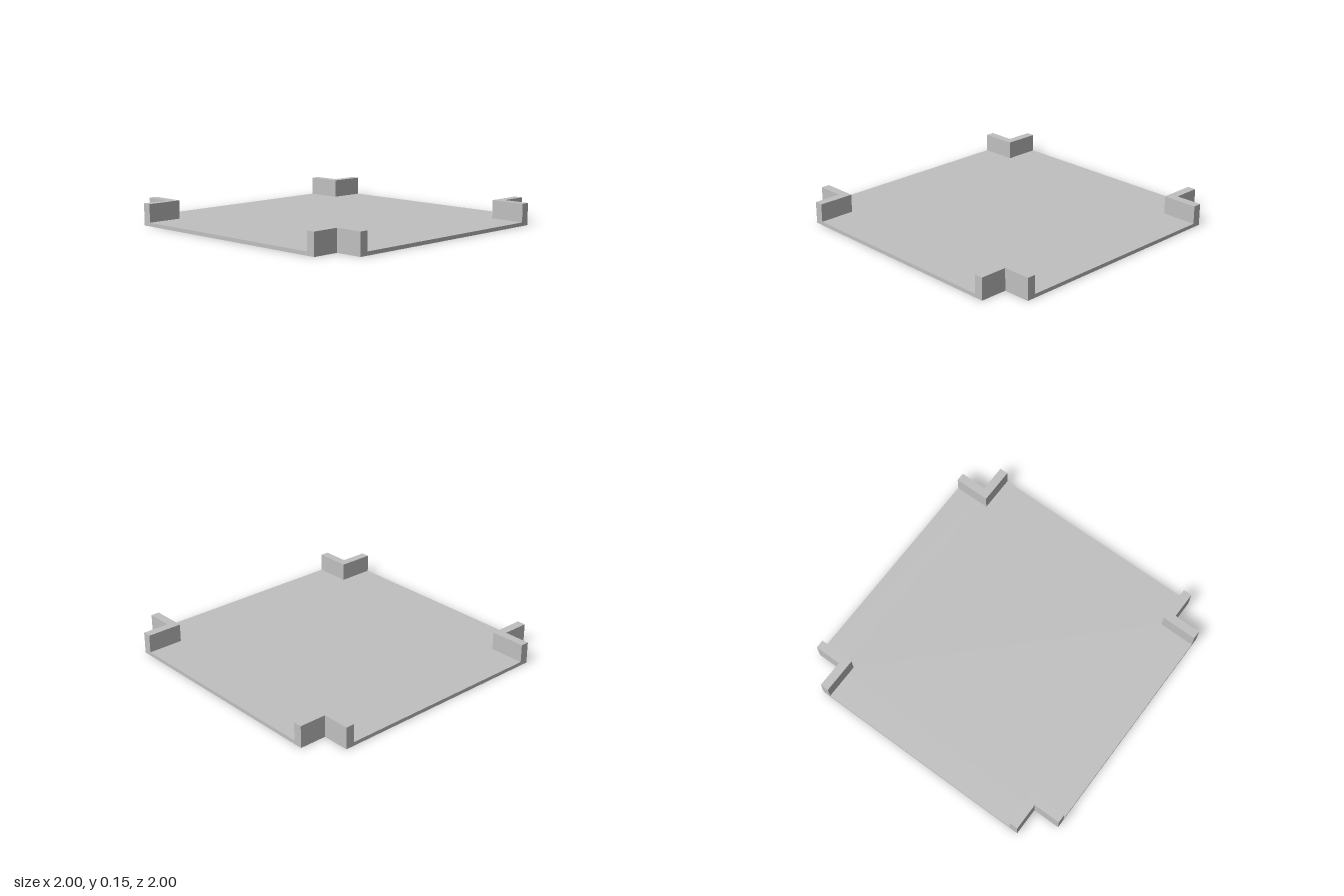
import * as THREE from 'three';

const EDGE = 1;        // outer half width
const NOTCH = 0.81;    // where the corner cut-outs begin
const INNER = 0.75;    // inner face of the corner walls
const FLOOR = 0.025;   // floor thickness
const HEIGHT = 0.15;   // top of the corner walls

// Extrude a plan outline upwards from y = base to y = top
function slab(points, base, top) {
  const shape = new THREE.Shape(points.map(([x, y]) => new THREE.Vector2(x, y)));
  const geometry = new THREE.ExtrudeGeometry(shape, { depth: top - base, bevelEnabled: false });
  return geometry.rotateX(-Math.PI / 2).translate(0, base, 0);
}

export function createModel() {
  const model = new THREE.Group();
  model.name = 'tray';
  const grey = new THREE.MeshStandardMaterial({ color: 0xc0c0c0 });
  grey.name = 'light grey';

  // Floor: a square with a square notch cut from each corner
  const outline = [];
  for (let i = 0; i < 4; i++) {
    const c = Math.round(Math.cos(i * Math.PI / 2));
    const s = Math.round(Math.sin(i * Math.PI / 2));
    for (const [x, y] of [[EDGE, NOTCH], [NOTCH, NOTCH], [NOTCH, EDGE]]) {
      outline.push([x * c - y * s, x * s + y * c]);
    }
  }
  const floor = new THREE.Mesh(slab(outline, 0, FLOOR), grey);
  floor.name = 'floor';
  model.add(floor);

  // L-shaped walls around each notch
  const wall = slab([
    [INNER, INNER], [EDGE, INNER], [EDGE, NOTCH],
    [NOTCH, NOTCH], [NOTCH, EDGE], [INNER, EDGE],
  ], FLOOR, HEIGHT);
  ['backLeft', 'backRight', 'frontRight', 'frontLeft'].forEach((corner, i) => {
    const mesh = new THREE.Mesh(wall, grey);
    mesh.name = corner + 'CornerWall';
    mesh.rotation.y = i * Math.PI / 2;
    model.add(mesh);
  });

  return model;
}
